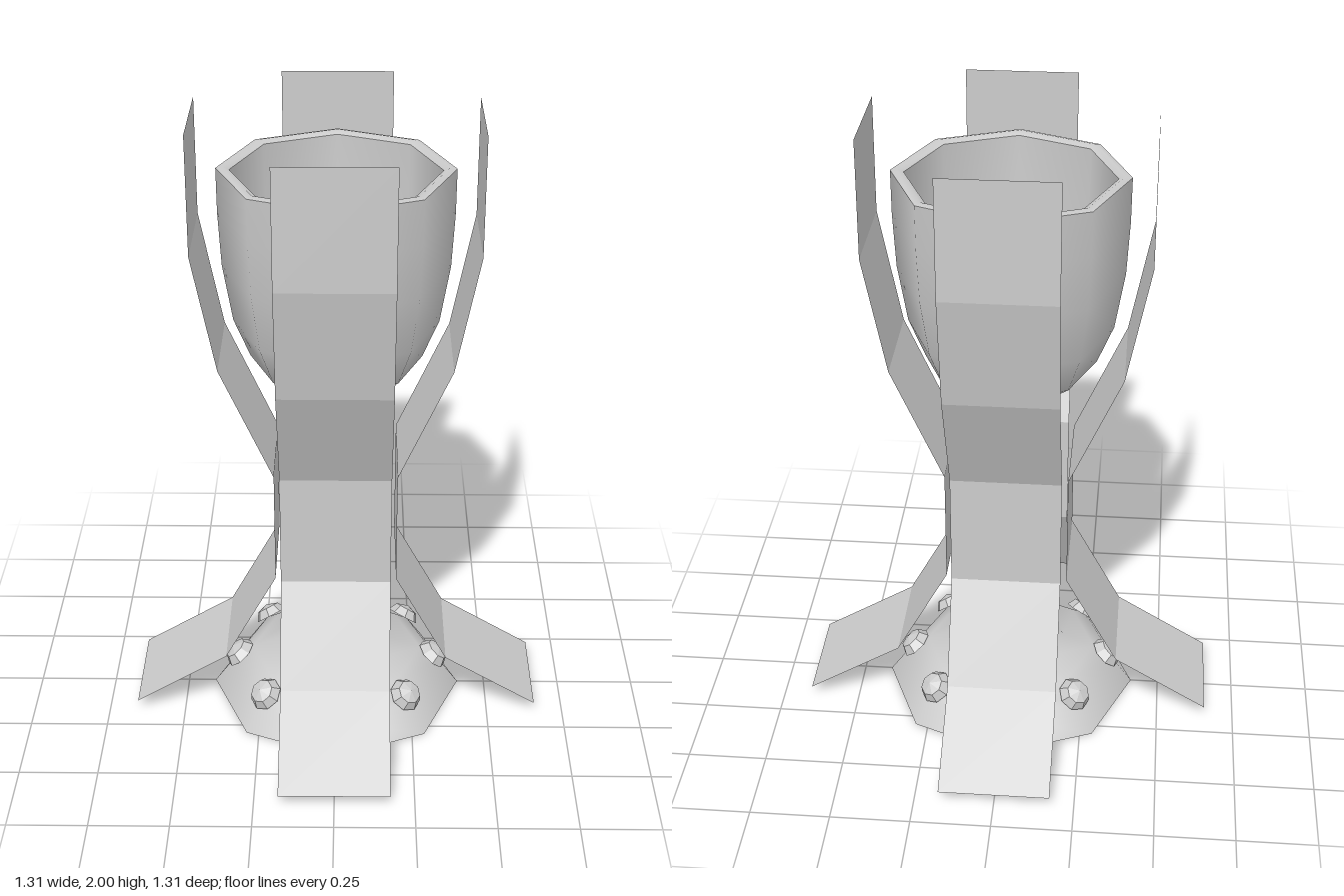
import * as THREE from 'three';

const SIDES = 8;
const smooth = new THREE.MeshStandardMaterial({ color: 0xcccccc, side: THREE.DoubleSide });
const faceted = new THREE.MeshStandardMaterial({ color: 0xcccccc, flatShading: true, side: THREE.DoubleSide });

// Eight-sided turned part from [radius, height] pairs
function turned(name, profile) {
  const points = profile.map(([r, y]) => new THREE.Vector2(r, y));
  const mesh = new THREE.Mesh(new THREE.LatheGeometry(points, SIDES), smooth);
  mesh.name = name;
  return mesh;
}

// Flat strip bent along [radius, height] pairs, facing +z
function bentStrip(profile, width) {
  const geometry = new THREE.PlaneGeometry(width, 1, 1, profile.length - 1);
  const position = geometry.attributes.position;
  for (let i = 0; i < position.count; i++) {
    const [r, y] = profile[Math.floor(i / 2)];
    position.setY(i, y);
    position.setZ(i, r);
  }
  geometry.computeVertexNormals();
  return geometry;
}

export function createModel() {
  const model = new THREE.Group();
  model.name = 'goblet';

  // Foot, hollow underneath
  model.add(turned('footUnderside', [[0, 0.09], [0.2, 0.075], [0.3, 0.05], [0.37, 0.012]]));
  model.add(turned('footRim', [[0.37, 0.012], [0.41, 0]]));
  model.add(turned('foot', [
    [0.41, 0], [0.345, 0.09], [0.28, 0.14], [0.18, 0.18],
    [0.125, 0.25], [0.1, 0.35], [0.085, 0.5],
  ]));

  // Stem with a knob below the bowl
  model.add(turned('stem', [[0.085, 0.5], [0.075, 0.7], [0.075, 0.86]]));
  model.add(turned('knob', [
    [0.075, 0.86], [0.11, 0.9], [0.14, 0.97], [0.15, 1.04], [0.135, 1.08], [0.09, 1.1],
  ]));
  model.add(turned('neck', [[0.085, 1.09], [0.09, 1.14]]));

  // Bowl: outer wall, rim and inner wall
  model.add(turned('bowlOutside', [
    [0, 1.125], [0.09, 1.13], [0.18, 1.165], [0.265, 1.23],
    [0.315, 1.35], [0.345, 1.53], [0.354, 1.7], [0.355, 1.84],
  ]));
  model.add(turned('bowlRim', [[0.355, 1.84], [0.335, 1.845], [0.315, 1.835]]));
  model.add(turned('bowlInside', [
    [0.315, 1.835], [0.31, 1.55], [0.285, 1.38], [0.235, 1.27], [0.15, 1.21], [0, 1.18],
  ]));

  // Studs around the foot, tilted to its slope
  const studGeometry = new THREE.SphereGeometry(0.055, 8, 2, 0, Math.PI * 2, 0, Math.PI / 2);
  studGeometry.scale(1, 0.75, 1);
  for (let i = 0; i < 8; i++) {
    const turn = new THREE.Group();
    turn.name = 'stud';
    turn.rotation.y = (i * Math.PI) / 4;
    const stud = new THREE.Mesh(studGeometry, faceted);
    stud.name = 'studGem';
    stud.position.set(0, 0.11, 0.322);
    stud.rotation.x = 0.72;
    turn.add(stud);
    model.add(turn);
  }

  // Four bent strips clasping the goblet
  const stripGeometry = bentStrip([
    [0.428, 2], [0.428, 1.63], [0.355, 1.26], [0.192, 0.895],
    [0.192, 0.525], [0.358, 0.22], [0.655, 0.04],
  ], 0.348);
  for (let i = 0; i < 4; i++) {
    const strip = new THREE.Mesh(stripGeometry, faceted);
    strip.name = 'strip';
    strip.rotation.y = (i * Math.PI) / 2;
    model.add(strip);
  }

  return model;
}
